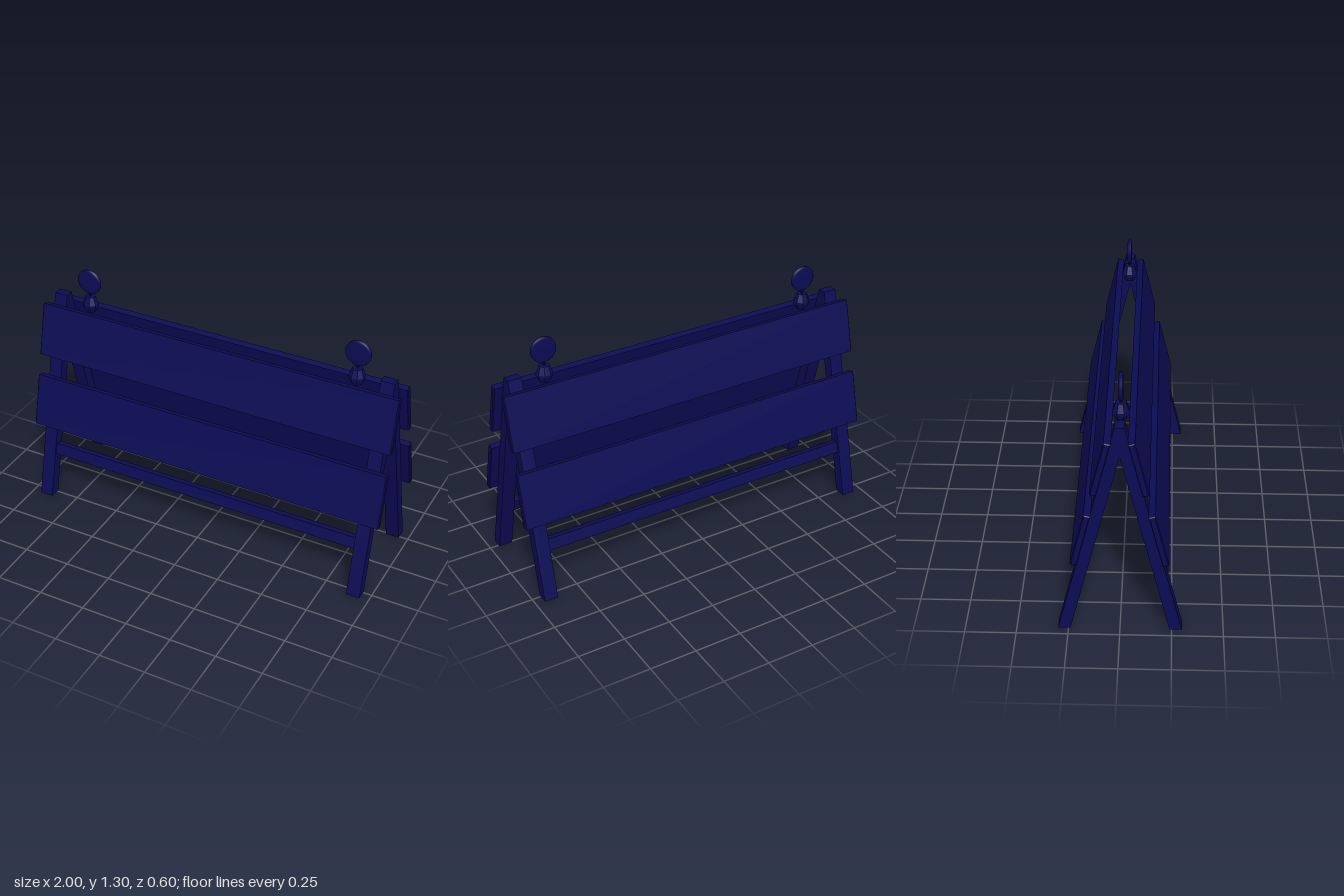
import * as THREE from 'three';

const paint = new THREE.MeshStandardMaterial({ color: 0x0b0b54, flatShading: true });
const smoothPaint = new THREE.MeshStandardMaterial({ color: 0x0b0b54 });

const SLOPE = 0.245;                 // inward lean of the frame
const TILT = Math.atan(SLOPE);
const outerZ = (y) => 0.30 - SLOPE * y;

function add(parent, name, geometry, material = paint) {
  const mesh = new THREE.Mesh(geometry, material);
  mesh.name = name;
  parent.add(mesh);
  return mesh;
}

// Bar running along x with slightly chamfered edges
function barGeometry(length, height, thickness, bevel) {
  const w = thickness / 2, h = height / 2;
  const shape = new THREE.Shape([
    new THREE.Vector2(-w, -h), new THREE.Vector2(w, -h),
    new THREE.Vector2(w, h), new THREE.Vector2(-w, h),
  ]);
  const geometry = new THREE.ExtrudeGeometry(shape, {
    depth: length - 2 * bevel, bevelEnabled: true, bevelSegments: 1,
    bevelSize: bevel, bevelThickness: bevel, bevelOffset: -bevel,
  });
  return geometry.center().rotateY(Math.PI / 2);
}

// A-shaped end frame: two leaning legs joined at the top
function legGeometry() {
  const top = 1.13, apex = 0.98;
  const shape = new THREE.Shape([
    [0.24, 0], [0.30, 0], [outerZ(top), top],
    [-outerZ(top), top], [-0.30, 0], [-0.24, 0], [0, apex],
  ].map(([z, y]) => new THREE.Vector2(z, y)));
  return new THREE.ExtrudeGeometry(shape, { depth: 0.072, bevelEnabled: false })
    .translate(0, 0, -0.036).rotateY(-Math.PI / 2);
}

// Warning lamp: octagonal base, short stem and round lens
function createLamp() {
  const lamp = new THREE.Group();
  lamp.name = 'lamp';
  const base = [[0, 1.065], [0.026, 1.065], [0.042, 1.095], [0.042, 1.11], [0.027, 1.152], [0, 1.152]]
    .map(([r, y]) => new THREE.Vector2(r, y));
  add(lamp, 'lampBase', new THREE.LatheGeometry(base, 8, Math.PI / 8));
  add(lamp, 'lampStem', new THREE.CylinderGeometry(0.007, 0.007, 0.04, 8)).position.y = 1.165;
  const disc = [[0, -0.011], [0.058, -0.011], [0.067, -0.005], [0.067, 0.005], [0.058, 0.011], [0, 0.011]]
    .map(([r, y]) => new THREE.Vector2(r, y));
  const lens = add(lamp, 'lampLens', new THREE.LatheGeometry(disc, 32), smoothPaint);
  lens.geometry.rotateX(Math.PI / 2);
  lens.position.y = 1.235;
  return lamp;
}

export function createModel() {
  const model = new THREE.Group();
  model.name = 'barricade';

  // End frames and lamps on both sides
  const leg = legGeometry();
  for (const side of [-1, 1]) {
    add(model, 'legFrame', leg).position.x = side * 0.916;
    const lamp = createLamp();
    lamp.position.x = side * 0.75;
    model.add(lamp);
  }

  // Front and back faces: two planks and a lower rail each
  const plank = barGeometry(2, 0.285, 0.033, 0.005);
  const rail = barGeometry(1.77, 0.062, 0.04, 0.003);
  for (const turn of [0, Math.PI]) {
    const face = new THREE.Group();
    face.name = turn ? 'backFace' : 'frontFace';
    face.rotation.y = turn;
    for (const [name, y] of [['upperPlank', 0.936], ['lowerPlank', 0.547]]) {
      const board = add(face, name, plank);
      board.position.set(0, y, outerZ(y) + 0.018);
      board.rotation.x = -TILT;
    }
    const bar = add(face, 'lowerRail', rail);
    bar.position.set(0, 0.27, outerZ(0.27) - 0.03);
    bar.rotation.x = -TILT;
    model.add(face);
  }
  return model;
}
